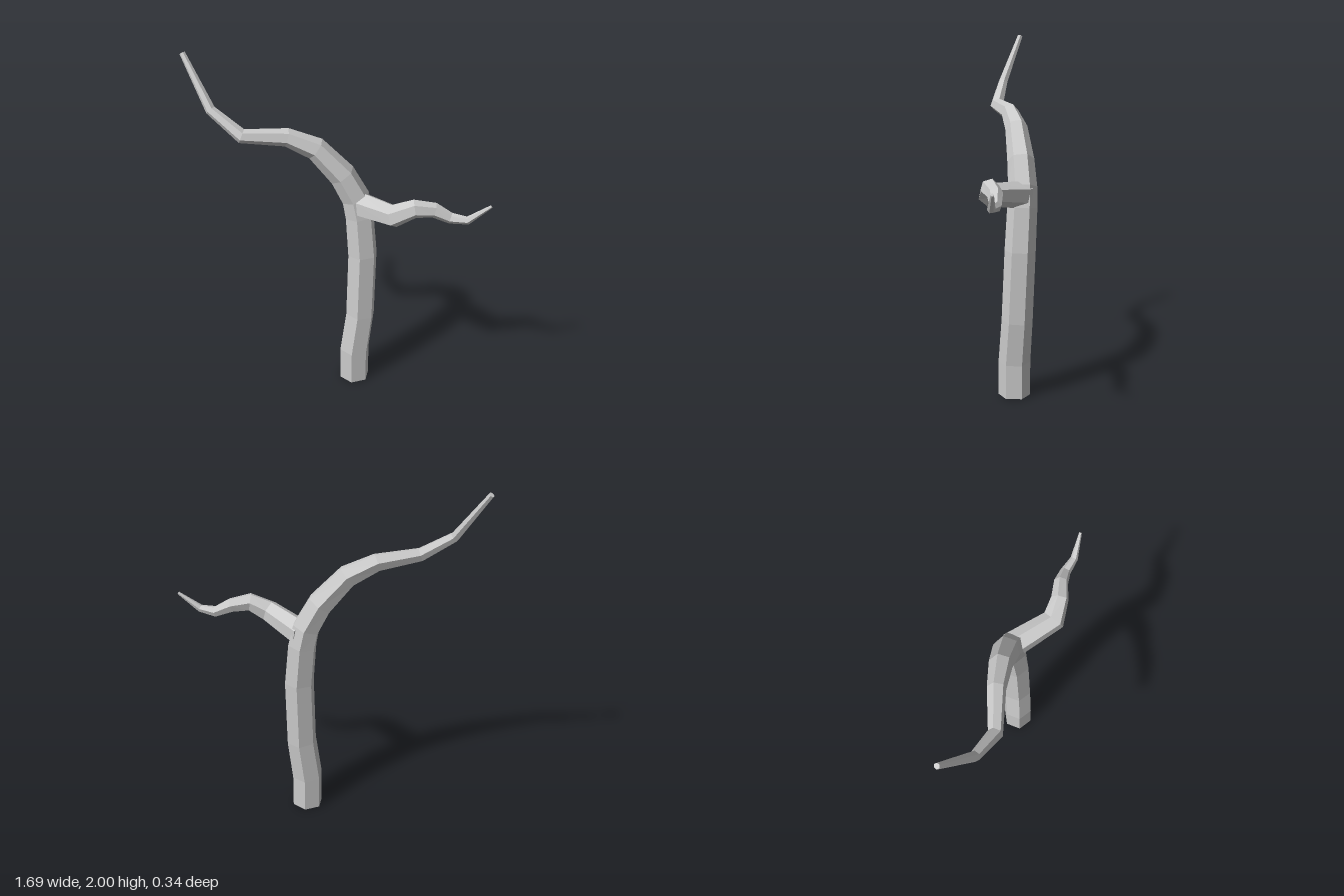
import * as THREE from 'three';

const SIDES = 6;

// Tapered six-sided limb through [x, y, z, radius] stations, mitred at each bend.
// `ref` points towards the first corner of the cross-section.
function limb(name, stations, ref, material) {
  const points = stations.map(([x, y, z]) => new THREE.Vector3(x, y, z));
  const last = points.length - 1;
  const dirs = [];
  for (let i = 0; i < last; i++) dirs.push(points[i + 1].clone().sub(points[i]).normalize());

  const positions = [];
  const u = ref.clone().addScaledVector(dirs[0], -ref.dot(dirs[0])).normalize();
  points.forEach((p, i) => {
    const din = dirs[Math.max(i - 1, 0)];
    const dout = dirs[Math.min(i, last - 1)];
    const n = din.clone().add(dout).normalize();
    const v = din.clone().cross(u);
    for (let j = 0; j < SIDES; j++) {
      const a = (j / SIDES) * Math.PI * 2;
      const o = u.clone().multiplyScalar(Math.cos(a)).addScaledVector(v, Math.sin(a));
      o.multiplyScalar(stations[i][3]);
      o.addScaledVector(din, -o.dot(n) / din.dot(n)); // slide onto the mitre plane
      o.add(p);
      positions.push(o.x, o.y, o.z);
    }
    // carry the frame round the bend without twist
    u.applyQuaternion(new THREE.Quaternion().setFromUnitVectors(din, dout));
  });

  const index = [];
  for (let i = 0; i < last; i++) {
    for (let j = 0; j < SIDES; j++) {
      const k = (j + 1) % SIDES;
      const a = i * SIDES + j, b = i * SIDES + k;
      index.push(a, b, b + SIDES, a, b + SIDES, a + SIDES);
    }
  }
  // end caps
  const top = last * SIDES;
  for (let j = 1; j < SIDES - 1; j++) {
    index.push(0, j + 1, j);
    index.push(top, top + j, top + j + 1);
  }

  const geometry = new THREE.BufferGeometry();
  geometry.setAttribute('position', new THREE.Float32BufferAttribute(positions, 3));
  geometry.setIndex(index);
  geometry.computeVertexNormals();
  const mesh = new THREE.Mesh(geometry, material);
  mesh.name = name;
  return mesh;
}

export function createModel() {
  const group = new THREE.Group();
  group.name = 'bareTree';
  const bark = new THREE.MeshStandardMaterial({ color: 0xcccccc, flatShading: true });

  // trunk, sweeping over into the long upper branch
  group.add(limb('trunkAndUpperBranch', [
    [0.11, 0, -0.04, 0.09],
    [0.11, 0.2, -0.04, 0.09],
    [0.14, 0.45, -0.052, 0.087],
    [0.148, 0.85, -0.067, 0.086],
    [0.128, 1.09, -0.08, 0.083],
    [0.105, 1.2, -0.084, 0.08],
    [0.03, 1.34, -0.08, 0.075],
    [-0.115, 1.5, -0.068, 0.063],
    [-0.27, 1.572, -0.045, 0.05],
    [-0.505, 1.597, 0.015, 0.038],
    [-0.675, 1.72, -0.035, 0.028],
    [-0.833, 1.992, -0.153, 0.016],
  ], new THREE.Vector3(-0.12, 0, 1), bark));

  // shorter side branch, reaching forward and then out
  group.add(limb('sideBranch', [
    [0.125, 1.16, -0.085, 0.076],
    [0.325, 1.2, 0.11, 0.062],
    [0.435, 1.252, 0.115, 0.05],
    [0.54, 1.238, 0.096, 0.041],
    [0.63, 1.195, 0.1, 0.03],
    [0.72, 1.2, 0.128, 0.021],
    [0.84, 1.292, 0.13, 0.008],
  ], new THREE.Vector3(0, 1, 0), bark));

  return group;
}
